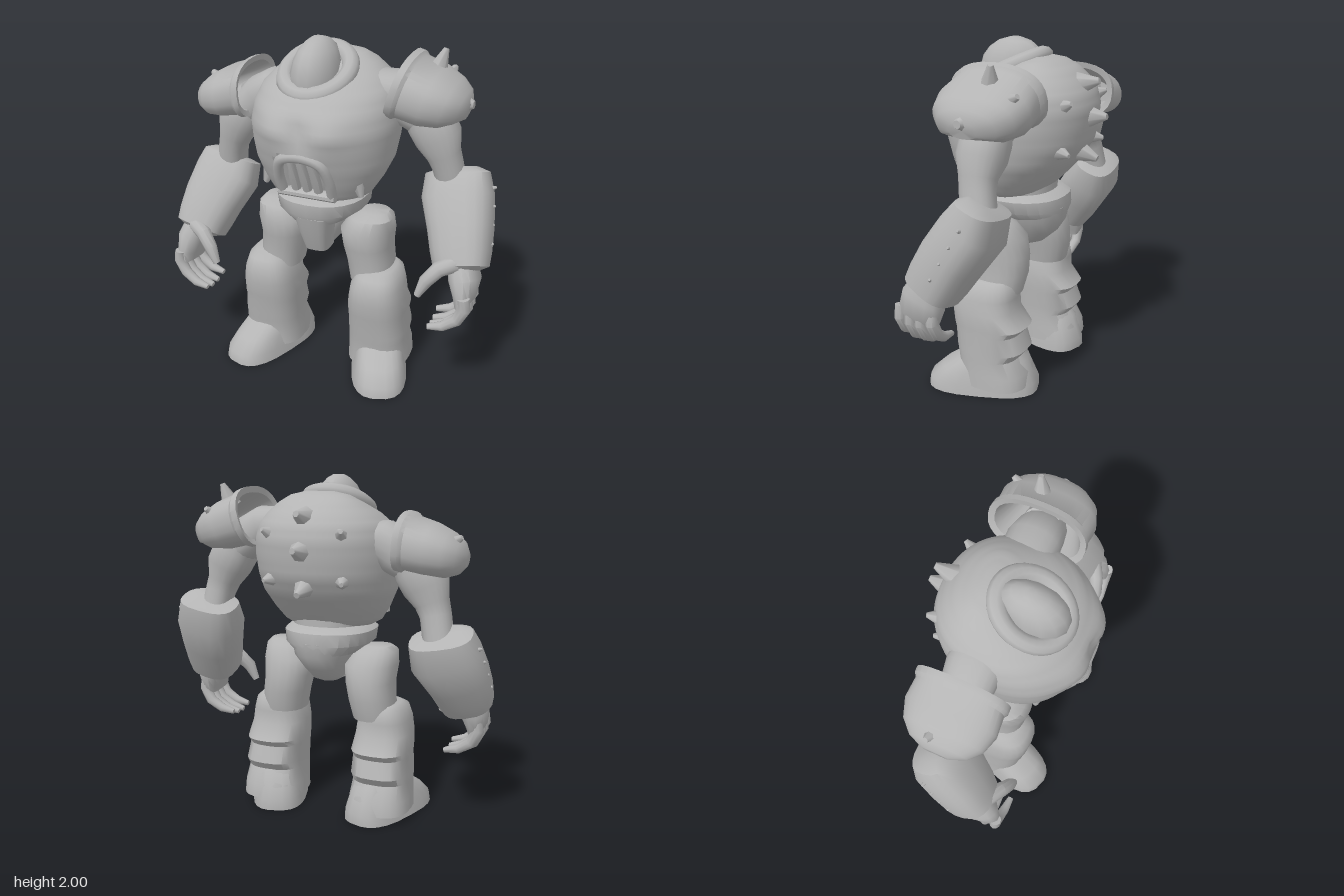
import * as THREE from 'three';
import { toCreasedNormals } from 'three/addons/utils/BufferGeometryUtils.js';

const stone = new THREE.MeshStandardMaterial({ color: 0xb4b4b4 });
stone.name = 'stone grey';
const V = (x, y, z) => new THREE.Vector3(x, y, z);

function part(parent, name, geometry) {
  const mesh = new THREE.Mesh(geometry, stone);
  mesh.name = name;
  parent.add(mesh);
  return mesh;
}

// Skin over rings [x, y, z, ru, rv]; rings face a fixed axis if given, else follow the path.
function loft(rings, { sides = 20, power = 2.3, axis = null, rule = null, crease = 0.8 } = {}) {
  const pos = [], index = [], n = rings.length;
  const c = rings.map(r => V(r[0], r[1], r[2]));
  const add = p => { if (rule) rule(p); pos.push(p.x, p.y, p.z); };
  rings.forEach((r, j) => {
    const t = axis || c[Math.min(j + 1, n - 1)].clone().sub(c[Math.max(j - 1, 0)]).normalize();
    const v = V(0, 0, 1).addScaledVector(t, -t.z).normalize();
    const u = v.clone().cross(t);
    for (let i = 0; i < sides; i++) {
      const a = i / sides * Math.PI * 2, co = Math.cos(a), si = Math.sin(a);
      add(c[j].clone()
        .addScaledVector(u, r[3] * Math.sign(co) * Math.abs(co) ** (2 / power))
        .addScaledVector(v, r[4] * Math.sign(si) * Math.abs(si) ** (2 / power)));
    }
  });
  add(c[0].clone());
  add(c[n - 1].clone());
  const first = n * sides, last = first + 1;
  for (let i = 0; i < sides; i++) {
    const k = (i + 1) % sides, e = (n - 1) * sides;
    for (let j = 0; j < n - 1; j++) {
      const a = j * sides + i, b = j * sides + k;
      index.push(a, b, a + sides, b, b + sides, a + sides);
    }
    index.push(first, k, i, last, e + i, e + k);
  }
  const g = new THREE.BufferGeometry();
  g.setAttribute('position', new THREE.Float32BufferAttribute(pos, 3));
  g.setIndex(index);
  return toCreasedNormals(g, crease);
}

// Horizontal slices from [y, centre x, half width, front z, back z].
function slab(rows, opts) {
  const up = Math.sign(rows[rows.length - 1][0] - rows[0][0]);
  return loft(rows.map(([y, x, w, f, b]) => [x, y, (f + b) / 2, w, (f - b) / 2]), { axis: V(0, up, 0), ...opts });
}

function spike(parent, name, from, to, radius) {
  const dir = to.clone().sub(from), len = dir.length();
  const g = new THREE.CylinderGeometry(radius * 0.25, radius, len, 7).translate(0, len / 2, 0);
  const m = part(parent, name, g);
  m.position.copy(from);
  m.quaternion.setFromUnitVectors(V(0, 1, 0), dir.normalize());
}

function buildTorso(root) {
  const g = new THREE.Group();
  g.name = 'torso';
  root.add(g);
  // Profile [y, half width, front, back] is resampled so the chest and mouth hollow can be shaped by rule.
  const key = [[1.14, 0.24, 0.29, -0.1], [1.17, 0.295, 0.35, -0.14], [1.25, 0.345, 0.39, -0.22],
    [1.35, 0.39, 0.43, -0.31], [1.45, 0.405, 0.46, -0.37], [1.55, 0.415, 0.465, -0.39],
    [1.65, 0.405, 0.425, -0.4], [1.73, 0.375, 0.35, -0.38], [1.79, 0.32, 0.25, -0.34],
    [1.85, 0.24, 0.1, -0.28], [1.89, 0.17, 0, -0.21], [1.91, 0.08, -0.06, -0.15]];
  const rows = [];
  for (let j = 0; j < key.length - 1; j++) for (let k = 0; k < 3; k++)
    rows.push(key[j].map((a, i) => a + (key[j + 1][i] - a) * k / 3));
  rows.push(key[key.length - 1]);
  const shape = p => {
    if (p.z < 0.1) return;
    p.z += 0.025 * Math.exp(-(((Math.abs(p.x) - 0.17) / 0.1) ** 2) - (((p.y - 1.58) / 0.08) ** 2));
    p.z -= 0.025 * Math.exp(-((p.x / 0.05) ** 2) - (((p.y - 1.56) / 0.06) ** 2));
    if (Math.abs(p.x) < 0.125 && p.y > 1.19 && p.y < 1.44 - 1.6 * p.x * p.x) p.z -= 0.08;
  };
  part(g, 'chest', slab(rows.map(([y, ...r]) => [y, 0, ...r]), { sides: 64, power: 2.15, rule: shape }));

  // Mouth frame and bars
  const arch = [[-0.145, 1.19, 0.33], [-0.145, 1.31, 0.385], [-0.11, 1.41, 0.43], [0, 1.44, 0.44],
    [0.11, 1.41, 0.43], [0.145, 1.31, 0.385], [0.145, 1.19, 0.33]].map(p => V(...p));
  part(g, 'mouthArch', new THREE.TubeGeometry(new THREE.CatmullRomCurve3(arch), 30, 0.03, 8));
  part(g, 'mouthSill', loft([[-0.165, 1.19, 0.325, 0.025, 0.04], [0.165, 1.19, 0.325, 0.025, 0.04]], { sides: 10 }));
  for (const x of [-0.065, 0, 0.065])
    part(g, 'mouthBar', loft([[x, 1.19, 0.32, 0.024, 0.025], [x, 1.3, 0.37, 0.026, 0.025],
      [x * 0.9, 1.43, 0.42, 0.014, 0.02]], { sides: 8 }));
  for (const s of [-1, 1]) {
    spike(g, 'ribSpur', V(s * 0.24, 1.33, 0.25), V(s * 0.285, 1.19, 0.265), 0.06);
    spike(g, 'backSpike', V(s * 0.2, 1.68, -0.3), V(s * 0.23, 1.71, -0.375), 0.05);
    spike(g, 'backSpike', V(s * 0.2, 1.44, -0.28), V(s * 0.23, 1.43, -0.365), 0.05);
  }
  for (const [y, z, ty, tz] of [[1.77, -0.3, 1.8, -0.43], [1.6, -0.36, 1.61, -0.48], [1.41, -0.3, 1.37, -0.43]])
    spike(g, 'spineSpike', V(0, y, z), V(0, ty, tz), 0.07);

  // Collar and helmet
  const collar = part(g, 'collar', new THREE.TorusGeometry(0.175, 0.048, 10, 32));
  collar.position.set(-0.025, 1.82, 0.12);
  collar.rotation.x = -Math.PI / 2 + 0.45;
  collar.scale.y = 1.15;
  part(g, 'head', slab([[1.62, -0.03, 0.1, 0.28, 0], [1.73, -0.03, 0.13, 0.315, -0.04],
    [1.82, -0.03, 0.13, 0.32, -0.05], [1.89, -0.03, 0.115, 0.3, -0.055], [1.94, -0.03, 0.095, 0.26, -0.05],
    [1.98, -0.03, 0.06, 0.2, 0], [2, -0.03, 0.03, 0.13, 0.07]], { sides: 14, power: 2 }));

  // Waist, belt and codpiece
  part(g, 'waist', slab([[1.22, 0, 0.22, 0.28, -0.16], [1.05, 0, 0.2, 0.28, -0.16]]));
  part(g, 'belt', slab([[1.15, -0.01, 0.23, 0.28, -0.18], [1.12, -0.01, 0.265, 0.34, -0.23],
    [1.05, -0.01, 0.255, 0.34, -0.24], [0.99, -0.01, 0.18, 0.31, -0.22]], { sides: 24 }));
  part(g, 'pelvis', slab([[1.06, 0, 0.19, 0.2, -0.24], [0.98, 0, 0.17, 0.2, -0.23], [0.9, 0, 0.12, 0.2, -0.18],
    [0.83, 0, 0.085, 0.2, -0.1], [0.8, 0, 0.06, 0.2, -0.02]], { sides: 18 }));
  part(g, 'codpiece', slab([[1.03, 0, 0.11, 0.33, 0.1], [0.92, 0, 0.09, 0.3, 0.1], [0.8, 0, 0.07, 0.25, 0.08]],
    { power: 3.5 }));
}

function buildLeg(root, s) {
  const g = new THREE.Group();
  g.name = s > 0 ? 'leftLeg' : 'rightLeg';
  root.add(g);
  const put = (name, rows, opts) => part(g, name, slab(rows.map(([y, x, ...r]) => [y, s * x, ...r]), opts));
  put('thigh', [[1.03, 0.3, 0.08, 0.14, -0.02], [1.0, 0.285, 0.125, 0.2, -0.06], [0.92, 0.26, 0.155, 0.23, -0.11],
    [0.82, 0.26, 0.142, 0.22, -0.13], [0.72, 0.275, 0.135, 0.2, -0.13], [0.6, 0.29, 0.125, 0.2, -0.1]]);
  // Greave with stepped plates down the calf
  put('shin', [[0.69, 0.345, 0.09, 0.19, -0.06], [0.66, 0.345, 0.125, 0.25, -0.09], [0.59, 0.34, 0.15, 0.28, -0.1],
    [0.51, 0.34, 0.163, 0.28, -0.1], [0.42, 0.34, 0.172, 0.27, -0.17], [0.38, 0.34, 0.168, 0.26, -0.135],
    [0.28, 0.345, 0.175, 0.25, -0.17], [0.23, 0.345, 0.172, 0.24, -0.13], [0.14, 0.345, 0.18, 0.23, -0.18],
    [0.06, 0.345, 0.185, 0.23, -0.19]], { power: 2.7, sides: 24 });
  // Foot swung round so that the toes turn out
  const turn = p => p.sub(V(s * 0.36, 0, 0.1)).applyAxisAngle(V(0, 1, 0), s * 0.33).add(V(s * 0.36, 0, 0.1));
  put('foot', [[0.27, 0.36, 0.1, 0.12, -0.1], [0.2, 0.36, 0.13, 0.24, -0.16], [0.13, 0.36, 0.145, 0.35, -0.19],
    [0.06, 0.36, 0.16, 0.425, -0.22], [0, 0.36, 0.168, 0.435, -0.22]], { power: 2.8, sides: 22, rule: turn });
}

// Domed shoulder guard, hollow towards the body, with a raised inner rim.
function buildGuard(g, s, { x, y, tilt, droop, size, spikes }) {
  const rings = [[0.25, 0.09, 0.16], [0.01, 0.15, 0.24], [0, 0.185, 0.275], [0.035, 0.185, 0.275],
    [0.055, 0.168, 0.26], [0.17, 0.157, 0.27], [0.27, 0.13, 0.235], [0.335, 0.095, 0.17], [0.37, 0.045, 0.08]]
    .map(([d, h, w]) => [s * (x + d * size), y - d * droop * size, -0.05, h * size, w * size]);
  const arch = p => { // the lower edge lifts over the arm
    if (p.y < y - 0.06 && Math.abs(p.x) < 0.72) p.y += 0.04 * Math.exp(-(((p.z + 0.05) / 0.12) ** 2));
  };
  part(g, 'shoulderGuard', loft(rings,
    { sides: 28, power: 2.4, crease: 0.65, axis: V(s, -tilt, 0).normalize(), rule: arch }));
  for (const [from, to, r] of spikes) spike(g, 'guardSpike', V(...from), V(...to), r);
}

function buildArm(root, s, { dy, reach, guard }) {
  const g = new THREE.Group();
  g.name = s > 0 ? 'leftArm' : 'rightArm';
  root.add(g);
  const put = (name, rows, opts) => part(g, name, loft(rows.map(([x, y, ...r]) => [s * x, y + dy, ...r]), opts));
  put('shoulder', [[0.2, 1.72, -0.05, 0.1, 0.14], [0.36, 1.7, -0.05, 0.125, 0.15], [0.44, 1.65, -0.05, 0.13, 0.14],
    [0.52, 1.59, -0.05, 0.11, 0.13]]);
  put('upperArm', [[0.49, 1.66, -0.06, 0.1, 0.11], [0.56, 1.56, -0.06, 0.135, 0.13], [0.61, 1.47, -0.06, 0.13, 0.13],
    [0.645, 1.38, -0.06, 0.095, 0.1], [0.67, 1.31, -0.07, 0.085, 0.095], [0.7, 1.15, -0.1, 0.085, 0.09]]);
  buildGuard(g, s, guard);

  // Heavy bracer with small studs along its outer edge
  const along = y => 0.8 + (y - 0.8) * reach;
  put('bracer', [[0.71, 1.27, -0.14, 0.12, 0.08], [0.715, 1.25, -0.13, 0.18, 0.12], [0.735, 1.13, -0.085, 0.2, 0.16],
    [0.785, 0.98, 0.015, 0.18, 0.16], [0.81, 0.87, 0.08, 0.165, 0.155], [0.825, 0.8, 0.12, 0.15, 0.145],
    [0.83, 0.78, 0.13, 0.1, 0.1]].map(([x, y, ...r]) => [x, along(y), ...r]), { power: 2.7 });
  for (let i = 0; i < 4; i++) {
    const y = along(1.18 - i * 0.09) + dy, z = -0.11 + i * 0.05;
    spike(g, 'bracerStud', V(s * (0.885 + i * 0.018), y, z), V(s * (0.94 + i * 0.012), y + 0.02, z - 0.01), 0.025);
  }

  // Hand with curled fingers
  put('palm', [[0.83, 0.84, 0.12, 0.08, 0.1], [0.86, 0.75, 0.155, 0.085, 0.13], [0.87, 0.66, 0.18, 0.06, 0.125],
    [0.86, 0.61, 0.185, 0.035, 0.11]], { sides: 14 });
  [0.085, 0.155, 0.22, 0.285].forEach((z, i) => {
    const k = Math.abs(i - 1.5) * 0.018;
    put('finger', [[0.885, 0.7, z, 0.034, 0.034], [0.895, 0.61 + k, z, 0.036, 0.034], [0.855, 0.53 + k, z, 0.034, 0.032],
      [0.78, 0.48 + k, z + 0.01, 0.028, 0.028], [0.7, 0.462 + k, z + 0.015, 0.016, 0.018]], { sides: 10, power: 2 });
  });
  put('thumb', [[0.81, 0.86, 0.2, 0.05, 0.05], [0.73, 0.83, 0.25, 0.045, 0.045], [0.67, 0.76, 0.28, 0.038, 0.038],
    [0.63, 0.67, 0.29, 0.02, 0.022]], { sides: 10, power: 2 });
}

export function createModel() {
  const root = new THREE.Group();
  root.name = 'armouredGiant';
  buildTorso(root);
  buildLeg(root, 1);
  buildLeg(root, -1);
  buildArm(root, 1, { dy: 0, reach: 1, guard: { x: 0.4, y: 1.755, tilt: 0.3, droop: 0.3, size: 1, spikes: [
    [[0.57, 1.82, -0.09], [0.61, 1.945, -0.12], 0.06],
    [[0.6, 1.75, -0.18], [0.63, 1.81, -0.28], 0.06],
    [[0.66, 1.68, -0.05], [0.795, 1.68, -0.04], 0.09]] } });
  buildArm(root, -1, { dy: -0.065, reach: 0.9, guard: { x: 0.48, y: 1.64, tilt: 0.08, droop: 0.24, size: 0.93, spikes: [
    [[-0.7, 1.61, -0.08], [-0.805, 1.68, -0.1], 0.06]] } });
  return root;
}
